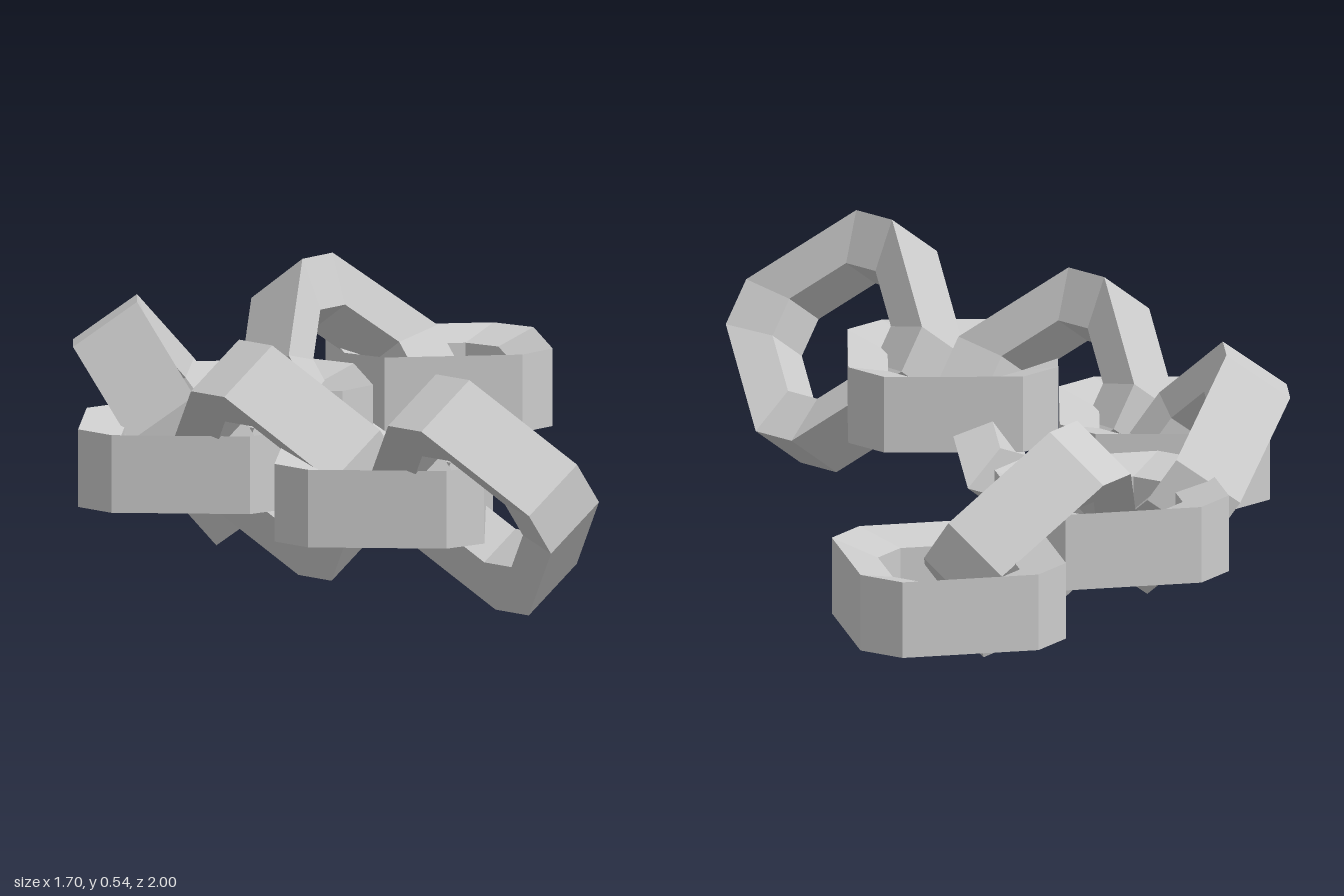
import * as THREE from 'three';

const OUTER = 0.27, OUTER_FLAT = 0.055, OUTER_H = 0.086; // outer octagon and half height
const INNER = 0.156, INNER_FLAT = 0.045, INNER_H = 0.056; // inner octagon and half height

// Eight corners with short flats and long diagonals
function octagon(r, f) {
  return [[r, -f], [r, f], [f, r], [-f, r], [-r, f], [-r, -f], [-f, -r], [f, -r]];
}

// One link: a tapered four-sided bar swept around the octagon
function linkGeometry() {
  const outer = octagon(OUTER, OUTER_FLAT), inner = octagon(INNER, INNER_FLAT);
  const pos = [], index = [];
  for (let i = 0; i < 8; i++) {
    const [ox, oz] = outer[i], [ix, iz] = inner[i];
    pos.push(ox, -OUTER_H, oz, ox, OUTER_H, oz, ix, INNER_H, iz, ix, -INNER_H, iz);
    const a = i * 4, b = ((i + 1) % 8) * 4;
    for (let j = 0; j < 4; j++) {
      const k = (j + 1) % 4;
      index.push(a + j, a + k, b + j, a + k, b + k, b + j);
    }
  }
  const indexed = new THREE.BufferGeometry();
  indexed.setAttribute('position', new THREE.Float32BufferAttribute(pos, 3));
  indexed.setIndex(index);
  const geometry = indexed.toNonIndexed();
  geometry.computeVertexNormals();
  return geometry;
}

export function createModel() {
  const group = new THREE.Group();
  group.name = 'chain';
  const material = new THREE.MeshStandardMaterial({ color: 0xcccccc, flatShading: true });
  const geometry = linkGeometry();

  // Links along the bent path: x, z and heading in degrees; every other one is tilted
  const path = [
    [-0.585, 0.73, 0], [-0.582, 0.40, 0], [-0.585, 0.078, 0], [-0.582, -0.25, 0],
    [-0.386, -0.507, 41.4], [-0.06, -0.603, 78.5], [0.257, -0.665, 78.5], [0.574, -0.727, 78.5],
  ];
  path.forEach(([x, z, heading], i) => {
    const tilted = i % 2 === 0;
    const link = new THREE.Mesh(geometry, material);
    link.name = (tilted ? 'tiltedLink' : 'flatLink') + (i + 1);
    link.position.set(x, tilted ? 0.27 : 0.235, z);
    link.rotation.set(0, THREE.MathUtils.degToRad(-heading), tilted ? THREE.MathUtils.degToRad(-54.5) : 0);
    group.add(link);
  });
  return group;
}
